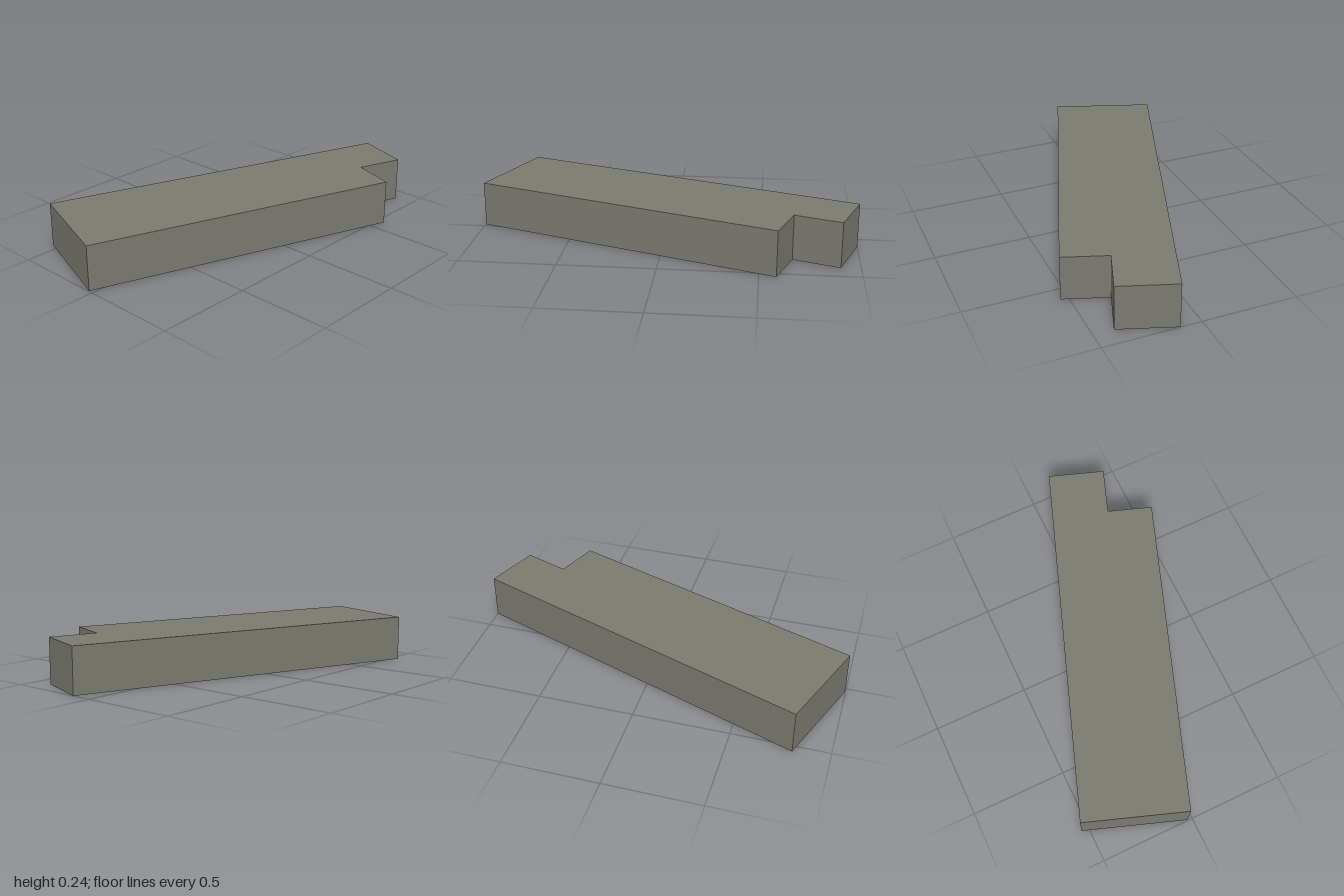
import * as THREE from 'three';

// Footprint corners [x, z], ordered so that wall fronts face outward
const FOOTPRINT = [
  [-0.54, 0.815], [-0.025, 0.997], [0.54, -0.585],
  [0.313, -0.664], [0.397, -0.9], [0.11, -1],
];
const HEIGHT = 0.237;

export function createModel() {
  const stone = new THREE.MeshStandardMaterial({ color: 0x7b7a70, side: THREE.DoubleSide });
  stone.name = 'warm grey';
  const building = new THREE.Group();
  building.name = 'building';

  // Flat roof
  const outline = new THREE.Shape(FOOTPRINT.map(([x, z]) => new THREE.Vector2(x, -z)));
  const roof = new THREE.Mesh(new THREE.ShapeGeometry(outline).rotateX(-Math.PI / 2), stone);
  roof.name = 'roof';
  roof.position.y = HEIGHT;
  building.add(roof);

  // One upright wall along each footprint edge; the underside stays open
  const walls = new THREE.Group();
  walls.name = 'walls';
  FOOTPRINT.forEach(([ax, az], i) => {
    const [bx, bz] = FOOTPRINT[(i + 1) % FOOTPRINT.length];
    const length = Math.hypot(bx - ax, bz - az);
    const wall = new THREE.Mesh(new THREE.PlaneGeometry(length, HEIGHT), stone);
    wall.name = `wall${i + 1}`;
    wall.position.set((ax + bx) / 2, HEIGHT / 2, (az + bz) / 2);
    wall.rotation.y = Math.atan2(az - bz, bx - ax);
    walls.add(wall);
  });
  building.add(walls);
  return building;
}
